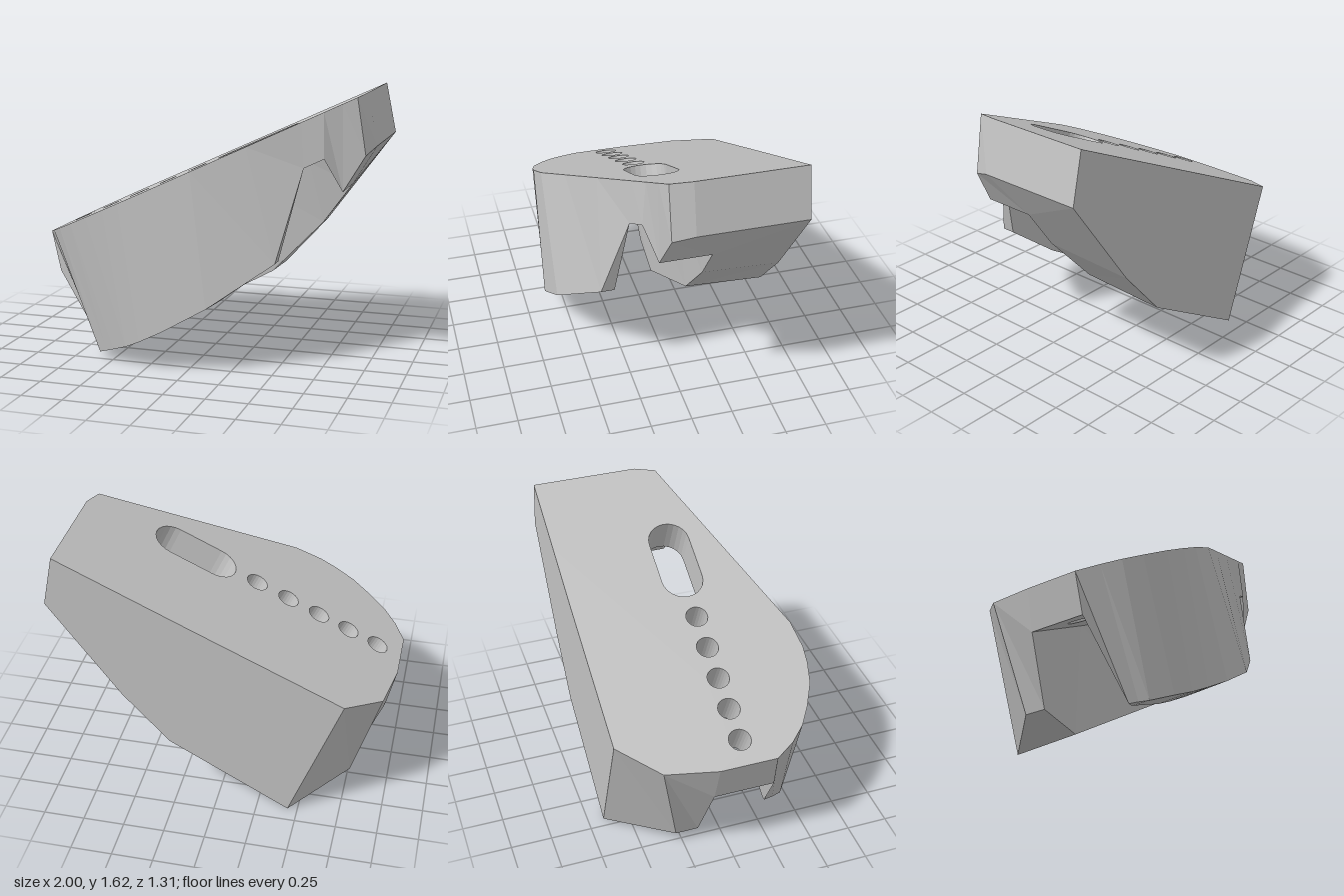
import * as THREE from 'three';

const SLOPE = 0.466;   // tilt of the plate
const DROP = 0.276;    // plate thickness measured straight down
const SHIFT = 0.106;   // x travel of a square-drilled hole through the plate

const V = (x, y, z) => new THREE.Vector3(x, y, z);
const top = (x, z) => V(x, 0.72 + SLOPE * (x + 1), z);
const under = (x, z) => V(x, 0.72 + SLOPE * (x + 1) - DROP, z);
const frontEdge = (x) => top(x, 0.62 - (x + 0.24) * 0.43);

function fromTriangles(points) {
  const g = new THREE.BufferGeometry().setFromPoints(points);
  g.computeVertexNormals();
  return g;
}

// Skin between an upper and a lower row of points, running left to right
function strip(upper, lower) {
  const out = [];
  for (let i = 0; i < upper.length - 1; i++) {
    const [a, b, c, d] = [upper[i], lower[i], lower[i + 1], upper[i + 1]];
    if (!a.equals(d)) out.push(a, c, d);
    if (!b.equals(c)) out.push(a, b, c);
  }
  return fromTriangles(out);
}

function fan(p) {
  const out = [];
  for (let i = 1; i < p.length - 1; i++) out.push(p[0], p[i], p[i + 1]);
  return fromTriangles(out);
}

// Flat sheet with holes; sign -1 faces up, +1 faces down
function sheet(outline, holes, place, sign) {
  const flat = (p) => new THREE.Vector2(p.x, sign * p.z);
  const shape = new THREE.Shape(outline.map(flat));
  shape.holes = holes.map((h) => new THREE.Path(h.map(flat)));
  const g = new THREE.ShapeGeometry(shape).toNonIndexed();
  const pos = g.attributes.position;
  for (let i = 0; i < pos.count; i++) {
    const p = place(pos.getX(i), sign * pos.getY(i));
    pos.setXYZ(i, p.x, p.y, p.z);
  }
  g.computeVertexNormals();
  return g;
}

// Round or stadium-shaped hole on the top face
function holeLoop(x0, x1, z, r, n = 24) {
  const pts = [];
  const half = n / 2;
  const arc = (cx, start) => {
    for (let i = 0; i <= half; i++) {
      const a = start + (i / half) * Math.PI;
      pts.push(top(cx + r * 0.906 * Math.cos(a), z + r * Math.sin(a)));
    }
  };
  arc(x1, -Math.PI / 2);
  arc(x0, Math.PI / 2);
  return pts.filter((p, i) => p.distanceTo(pts[(i + 1) % pts.length]) > 1e-4);
}

export function createModel() {
  const group = new THREE.Group();
  const grey = new THREE.MeshStandardMaterial({ color: 0xc2c2c2, side: THREE.DoubleSide });
  grey.name = 'light grey';
  const add = (name, geometry) => {
    const m = new THREE.Mesh(geometry, grey);
    m.name = name;
    group.add(m);
  };

  // Corners of the underside channel
  const frontCorner = under(-0.94, 0.26);
  const backCorner = under(-0.94, -0.11);
  const notchTop = under(0.62, 0.275);
  const endFront = under(0.73, 0.23);
  const endBack = under(0.73, -0.11);
  const lipFront = V(0.83, 1.05, 0.16);
  const lipBack = V(0.83, 1.05, -0.15);

  // Lower edge of the front leg, outside and inside
  const legOuter = [
    V(-0.63, 0.03, 0.34), V(-0.62, 0.03, 0.4), V(-0.6, 0.03, 0.46), V(-0.54, 0.055, 0.5),
    V(-0.48, 0.08, 0.54), V(-0.38, 0.12, 0.59), V(-0.28, 0.17, 0.63), V(-0.13, 0.25, 0.655),
    V(0.13, 0.4, 0.62), V(0.49, 0.65, 0.42),
  ];
  const last = legOuter.length - 1;
  const legInner = legOuter.map((p, i) => {
    const t = (p.x + 0.63) / 1.12;
    const bulge = Math.sin(Math.PI * t);
    return i === 0 ? p : V(p.x, p.y - 0.025 * bulge, 0.338 + 0.022 * bulge);
  });

  // Lower edge of the back leg, outside and inside
  const backOuter = [
    V(-0.77, 0.07, -0.29), V(-0.44, 0, -0.655), V(0.29, 0.41, -0.655),
    V(0.57, 0.72, -0.655), V(1, 1.31, -0.655),
  ];
  const backInner = [
    V(-0.77, 0.07, -0.15), V(-0.5, 0, -0.15), V(0.33, 0.465, -0.15),
    V(0.65, 0.8, -0.15), lipBack,
  ];

  // Outer wall: each top rim point paired with the point below it
  const curve = [
    [-1, 0.25], [-0.93, 0.37], [-0.85, 0.46], [-0.75, 0.53],
    [-0.62, 0.6], [-0.5, 0.63], [-0.4, 0.64], [-0.24, 0.62],
  ].map(([x, z]) => top(x, z));
  const lipCorner = V(0.955, 1.265, 0.125);
  const endCorner = V(1, 1.31, 0);
  const pairs = [[curve[0], frontCorner]];
  const rim = [...curve, frontEdge(0), frontEdge(0.3)];
  legOuter.forEach((p, i) => pairs.push([rim[i], p]));
  pairs.push(
    [frontEdge(0.6), notchTop], [frontEdge(0.72), endFront], [frontEdge(0.82), lipFront],
    [frontEdge(0.9), lipCorner], [top(0.935, 0), endCorner],
    [top(0.935, -0.655), backOuter[4]], [top(0.5, -0.655), backOuter[3]],
    [top(0.1, -0.655), backOuter[2]], [top(-0.75, -0.65), backOuter[1]],
    [top(-0.95, -0.42), backOuter[0]], [top(-0.95, -0.42), backInner[0]],
    [top(-1, -0.1), backCorner], [curve[0], frontCorner],
  );
  add('outerWall', strip(pairs.map((p) => p[0]), pairs.map((p) => p[1])));

  // Row of round holes and the long slot, drilled square to the plate
  const holes = [-0.853, -0.668, -0.482, -0.29, -0.095].map((x) => holeLoop(x, x, 0.07, 0.067));
  holes.push(holeLoop(0.155, 0.41, 0.062, 0.128));
  const lowered = holes.map((h) => h.map((p) => under(p.x + SHIFT, p.z)));
  holes.forEach((h, i) => {
    add(i < 5 ? 'roundHoleWall' : 'slotWall', strip([...h, h[0]], [...lowered[i], lowered[i][0]]));
  });

  // Plate faces
  const outline = pairs.slice(1, -1).map((p) => p[0]).filter((p, i, a) => i === 0 || !p.equals(a[i - 1]));
  add('topFace', sheet(outline, holes, top, -1));
  add('channelCeiling', sheet([frontCorner, notchTop, endFront, endBack, backCorner], lowered, under, 1));

  // Front leg: inside wall, foot and notch face
  const frontSeam = legOuter.map((p, i) => frontCorner.clone().lerp(notchTop, i / last));
  add('frontLegInside', strip(frontSeam.reverse(), [...legInner].reverse()));
  add('frontLegFoot', strip(legOuter, legInner));
  add('notchFace', fan([notchTop, legOuter[last], legInner[last]]));

  // Back leg: inside wall and foot
  const backSeam = [0, 0.25, 0.7, 0.9, 1].map((t) => backCorner.clone().lerp(endBack, t));
  add('backLegInside', strip(backSeam, backInner));
  add('backLegFoot', strip(backInner, backOuter));

  // Lip closing the high end of the channel
  add('lipInside', strip([endBack, endFront], [lipBack, lipFront]));
  add('lipUnderside', fan([lipBack, backOuter[4], endCorner, lipCorner, lipFront]));

  return group;
}
